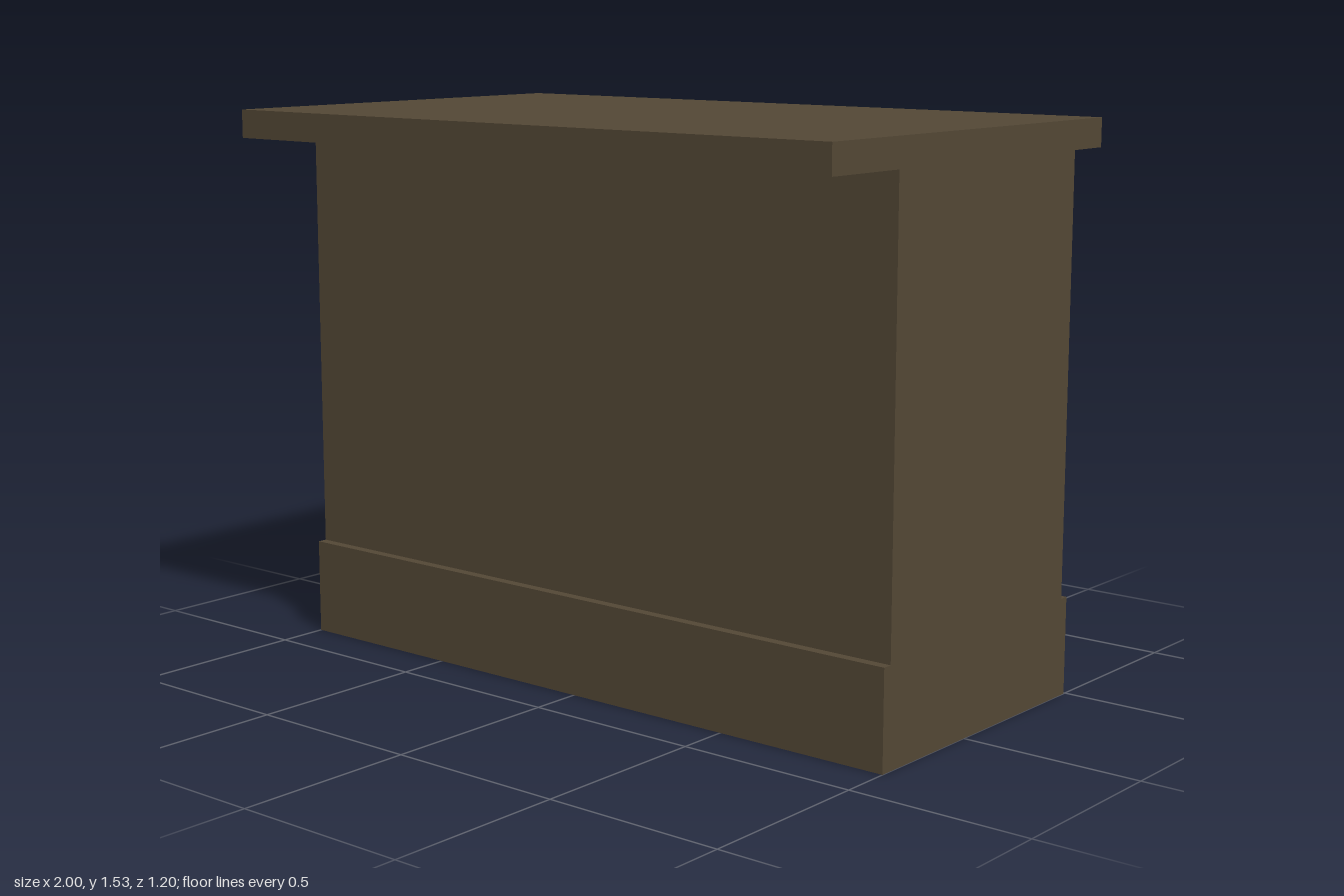
import * as THREE from 'three';

export function createModel() {
  const group = new THREE.Group();
  group.name = 'counter';
  const wood = new THREE.MeshStandardMaterial({ color: 0x534735 });
  wood.name = 'dark brown wood';

  // Full-width block spanning the given heights and depths
  function addBlock(name, y0, y1, zBack, zFront) {
    const mesh = new THREE.Mesh(new THREE.BoxGeometry(2, y1 - y0, zFront - zBack), wood);
    mesh.position.set(0, (y0 + y1) / 2, (zBack + zFront) / 2);
    mesh.name = name;
    group.add(mesh);
  }

  // Plinth and body sit slightly behind the centre of the top
  addBlock('plinth', 0, 0.268, -0.493, 0.36);
  addBlock('body', 0.268, 1.457, -0.466, 0.333);
  addBlock('counterTop', 1.457, 1.535, -0.6, 0.6);

  return group;
}
